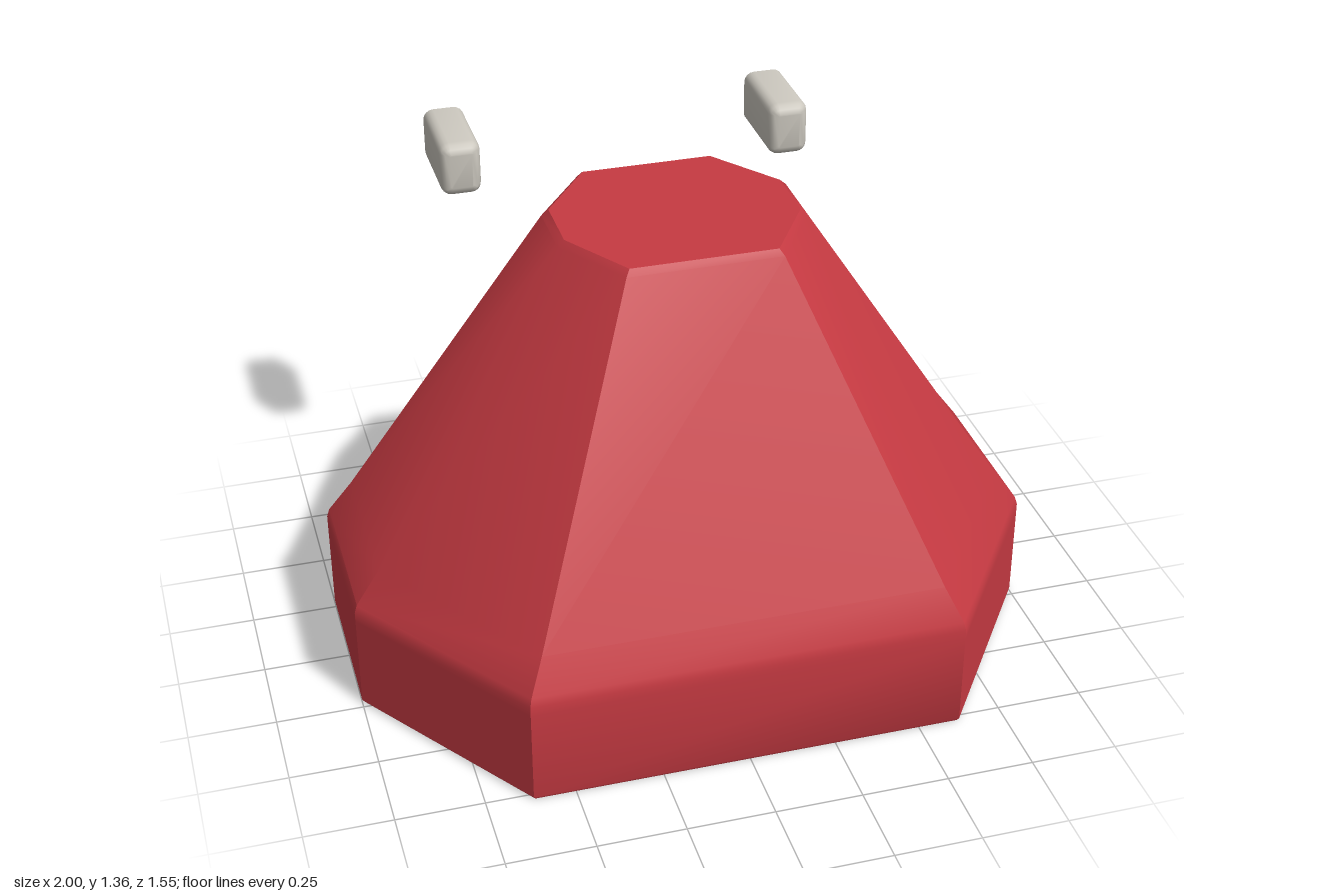
import * as THREE from 'three';
import { toCreasedNormals } from 'three/addons/utils/BufferGeometryUtils.js';

// Skin a stack of equal-sized rings (counter-clockwise about the stacking axis) and cap both ends.
function loft(rings, crease) {
  const n = rings[0].length;
  const index = [];
  for (let r = 0; r < rings.length - 1; r++) {
    for (let i = 0; i < n; i++) {
      const j = (i + 1) % n;
      const a = r * n + i, b = r * n + j, c = b + n, d = a + n;
      index.push(a, b, c, a, c, d);
    }
  }
  const last = (rings.length - 1) * n;
  for (let i = 1; i < n - 1; i++) {
    index.push(0, i + 1, i);
    index.push(last, last + i, last + i + 1);
  }
  const geo = new THREE.BufferGeometry();
  geo.setAttribute('position', new THREE.Float32BufferAttribute(rings.flat(2), 3));
  geo.setIndex(index);
  return toCreasedNormals(geo, crease);
}

// Right half of an octagon, front to back, mirrored into a full ring of [x, z].
function mirrored(half) {
  return [...half, ...half.map(([x, z]) => [-x, z]).reverse()];
}

// Rounded rectangle ring in the xy plane at depth z.
function roundedRing(w, h, radius, inset, z) {
  const r = Math.max(radius - inset, 0.004);
  const cx = w / 2 - inset - r, cy = h / 2 - inset - r;
  const ring = [];
  [[1, 1], [-1, 1], [-1, -1], [1, -1]].forEach(([sx, sy], q) => {
    for (let k = 0; k <= 4; k++) {
      const a = (q + k / 4) * Math.PI / 2;
      ring.push([sx * cx + r * Math.cos(a), sy * cy + r * Math.sin(a), z]);
    }
  });
  return ring;
}

export function createModel() {
  const group = new THREE.Group();
  const red = new THREE.MeshStandardMaterial({ color: 0xc63a42 });
  red.name = 'red';
  const lightGrey = new THREE.MeshStandardMaterial({ color: 0xcbc7be });
  lightGrey.name = 'lightGrey';

  // Body: upright octagonal base tapering to a small flat top, [height, taper] per ring
  const base = mirrored([[0.62, 0.775], [1, 0.23], [1, -0.27], [0.56, -0.778]]);
  const top = mirrored([[0.22, 0.305], [0.355, 0.09], [0.355, -0.105], [0.2, -0.315]]);
  const levels = [[0, 0.012], [0.01, 0], [0.29, 0], [0.32, 0], [0.345, 0.012],
    [0.44, 0.12], [1.315, 1], [1.333, 1.03]];
  const rings = levels.map(([y, t]) => base.map(([x, z], i) => [
    x + (top[i][0] - x) * t, y, z + (top[i][1] - z) * t,
  ]));
  const body = new THREE.Mesh(loft(rings, 0.56), red);
  body.name = 'body';
  group.add(body);

  // Two floating rounded blocks at the back, softer at their front ends: [depth, inset]
  const ends = [[-0.778, 0.01], [-0.768, 0], [-0.533, 0], [-0.518, 0.004], [-0.507, 0.014], [-0.502, 0.028]];
  const blockGeo = loft(ends.map(([z, inset]) => roundedRing(0.12, 0.163, 0.03, inset, z)), 0.75);
  for (const side of [1, -1]) {
    const block = new THREE.Mesh(blockGeo, lightGrey);
    block.name = side > 0 ? 'leftBlock' : 'rightBlock';
    block.position.set(side * 0.498, 1.281, 0);
    group.add(block);
  }
  return group;
}
